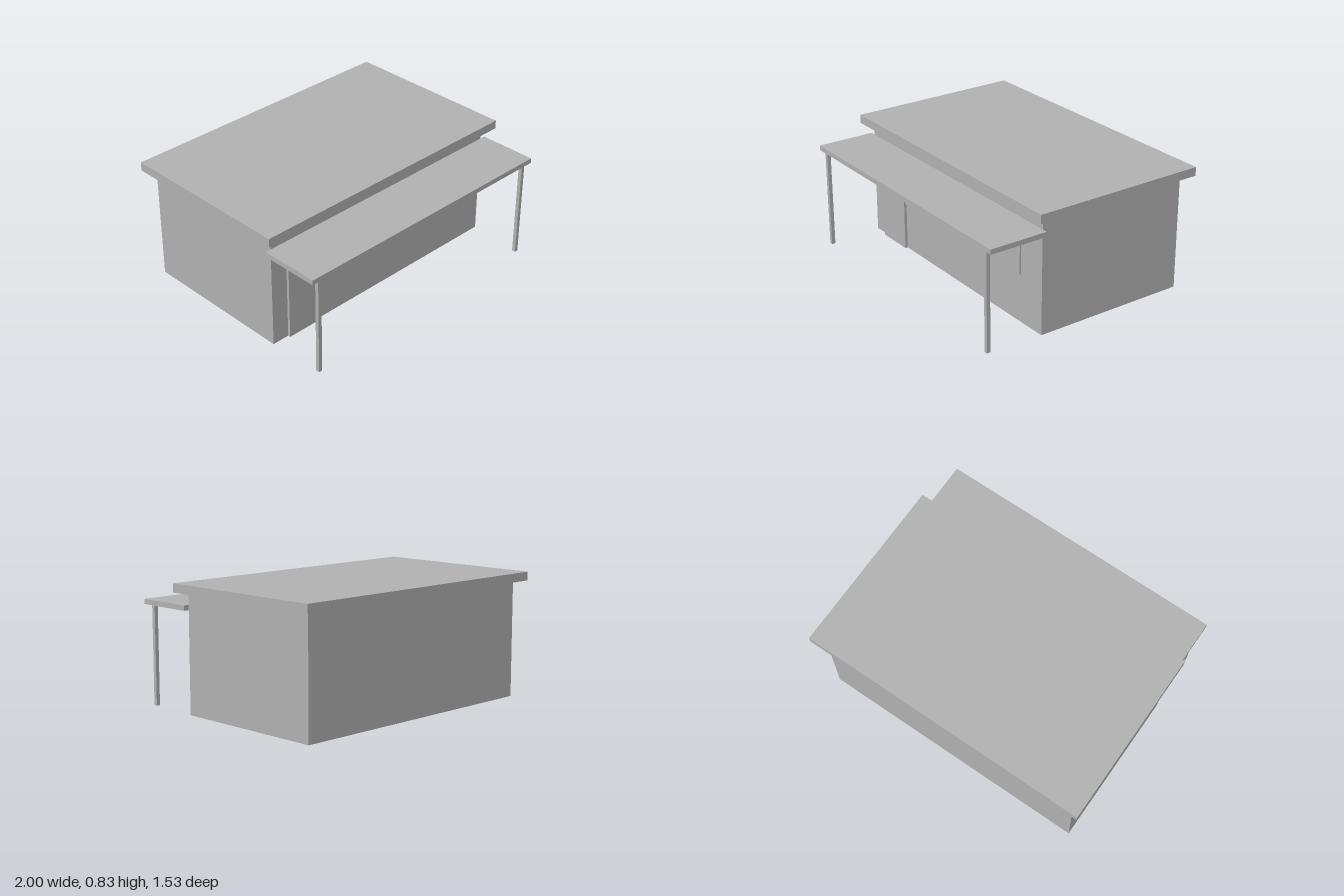
import * as THREE from 'three';

const grey = new THREE.MeshStandardMaterial({ color: 0xb0b0b0 });
grey.name = 'plain grey';

// Box given by its lower and upper limits on each axis
function block(name, [x0, x1], [y0, y1], [z0, z1]) {
  const mesh = new THREE.Mesh(new THREE.BoxGeometry(x1 - x0, y1 - y0, z1 - z0), grey);
  mesh.position.set((x0 + x1) / 2, (y0 + y1) / 2, (z0 + z1) / 2);
  mesh.name = name;
  return mesh;
}

export function createModel() {
  const building = new THREE.Group();
  building.name = 'building';

  // Main body and overhanging flat roof
  building.add(block('walls', [-0.933, 0.933], [0, 0.777], [-0.7, 0.368]));
  building.add(block('roof', [-1, 1], [0.777, 0.835], [-0.767, 0.433]));

  // Door and long window on the front wall
  building.add(block('door', [-0.813, -0.55], [0, 0.56], [0.368, 0.386]));
  building.add(block('window', [-0.55, 0.725], [0.323, 0.612], [0.368, 0.377]));

  // Porch canopy carried by two square posts
  building.add(block('canopy', [-0.971, 0.971], [0.667, 0.7], [0.368, 0.767]));
  for (const [name, x] of [['rightPost', -0.907], ['leftPost', 0.905]]) {
    building.add(block(name, [x - 0.0125, x + 0.0125], [0, 0.667], [0.732, 0.757]));
  }

  return building;
}
